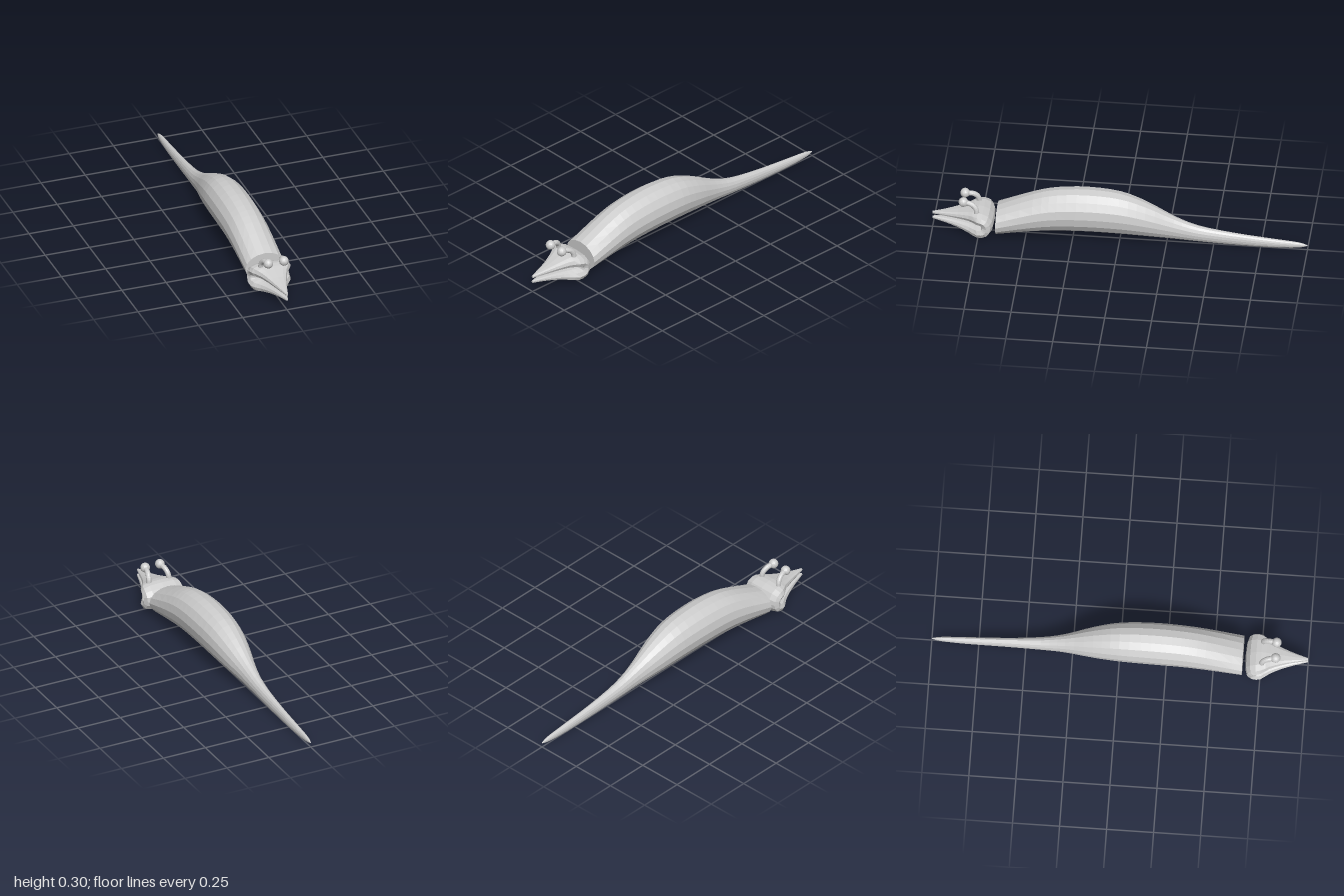
import * as THREE from 'three';

const skin = new THREE.MeshStandardMaterial({ color: 0xcccccc, flatShading: true });
skin.name = 'light grey skin';

// Rounded closed section in a plane spanned by x and the yz direction (ny, nz)
function section(y, z, w, h, ny, nz, sides, power) {
  const soft = (v) => Math.sign(v) * Math.pow(Math.abs(v), power);
  return Array.from({ length: sides }, (_, j) => {
    const a = (j / sides) * Math.PI * 2;
    const s = h * soft(Math.sin(a));
    return new THREE.Vector3(w * soft(Math.cos(a)), y + s * ny, z + s * nz);
  });
}

// Skin a list of sections and close both ends
function loft(rings) {
  const n = rings[0].length;
  const pos = [];
  const index = [];
  rings.forEach((r) => r.forEach((p) => pos.push(p.x, p.y, p.z)));
  for (let i = 0; i < rings.length - 1; i++) {
    for (let j = 0; j < n; j++) {
      const k = (j + 1) % n;
      const a = i * n + j, b = i * n + k, c = a + n, d = b + n;
      index.push(a, b, d, a, d, c);
    }
  }
  [0, rings.length - 1].forEach((i) => {
    const mid = new THREE.Vector3();
    rings[i].forEach((p) => mid.addScaledVector(p, 1 / n));
    const m = pos.length / 3;
    pos.push(mid.x, mid.y, mid.z);
    for (let j = 0; j < n; j++) {
      const a = i * n + j, b = i * n + ((j + 1) % n);
      if (i === 0) index.push(m, b, a);
      else index.push(m, a, b);
    }
  });
  const geo = new THREE.BufferGeometry();
  geo.setAttribute('position', new THREE.Float32BufferAttribute(pos, 3));
  geo.setIndex(index);
  geo.computeVertexNormals();
  return geo;
}

const spline = (rows, a, b) => new THREE.SplineCurve(rows.map((r) => new THREE.Vector2(r[a], r[b])));

// Arched body tapering into a long tail: z, half width, bottom, top
function bodyGeometry() {
  const rows = [
    [-1, 0.002, 0.024, 0.028], [-0.95, 0.011, 0.011, 0.043], [-0.82, 0.017, 0.004, 0.055],
    [-0.61, 0.022, 0.006, 0.077], [-0.42, 0.032, 0.015, 0.108], [-0.29, 0.047, 0.025, 0.157],
    [-0.14, 0.080, 0.037, 0.235], [0, 0.101, 0.046, 0.285], [0.17, 0.109, 0.049, 0.299],
    [0.33, 0.109, 0.043, 0.286], [0.46, 0.109, 0.031, 0.250], [0.655, 0.109, 0.007, 0.163],
  ];
  const width = spline(rows, 0, 1), height = spline(rows, 2, 3);
  const rings = [];
  for (let i = 0; i <= 33; i++) {
    const p = width.getPoint(i / 33), q = height.getPoint(i / 33);
    rings.push(section((q.x + q.y) / 2, p.x, p.y, (q.y - q.x) / 2, 1, 0, 16, 1));
  }
  return loft(rings);
}

// Head folded from upper beak tip, round the back, to lower tip: z, y, half width, half thickness
function headGeometry() {
  const upper = [
    [1, 0.092, 0.006, 0.007], [0.93, 0.097, 0.026, 0.014], [0.86, 0.105, 0.050, 0.021],
    [0.80, 0.114, 0.078, 0.029], [0.755, 0.118, 0.110, 0.036], [0.715, 0.108, 0.118, 0.035],
  ];
  const mid = 0.077;
  const lower = upper.map(([z, y, w, t]) => [z, 2 * mid - y, w, t]).reverse();
  const rows = [...upper, [0.703, mid, 0.116, 0.035], ...lower];
  const path = spline(rows, 0, 1), size = spline(rows, 2, 3);
  const rings = [];
  for (let i = 0; i <= 24; i++) {
    const p = path.getPoint(i / 24), s = size.getPoint(i / 24);
    const d = path.getTangent(i / 24);
    rings.push(section(p.y, p.x, s.x, s.y, d.x, -d.y, 12, 0.7));
  }
  return loft(rings);
}

export function createModel() {
  const model = new THREE.Group();
  model.name = 'slug creature';
  const add = (name, geo) => {
    const mesh = new THREE.Mesh(geo, skin);
    mesh.name = name;
    model.add(mesh);
    return mesh;
  };

  add('body', bodyGeometry());
  add('head', headGeometry());

  // Eyes on curved stalks
  [['left', 1], ['right', -1]].forEach(([side, s]) => {
    const curve = new THREE.CatmullRomCurve3([
      new THREE.Vector3(s * 0.061, 0.135, 0.757),
      new THREE.Vector3(s * 0.058, 0.170, 0.763),
      new THREE.Vector3(s * 0.052, 0.192, 0.785),
      new THREE.Vector3(s * 0.044, 0.200, 0.830),
    ]);
    add(side + ' eye stalk', new THREE.TubeGeometry(curve, 12, 0.014, 12));
    add(side + ' eye', new THREE.SphereGeometry(0.026, 16, 12)).position.set(s * 0.044, 0.2, 0.831);
  });
  return model;
}
